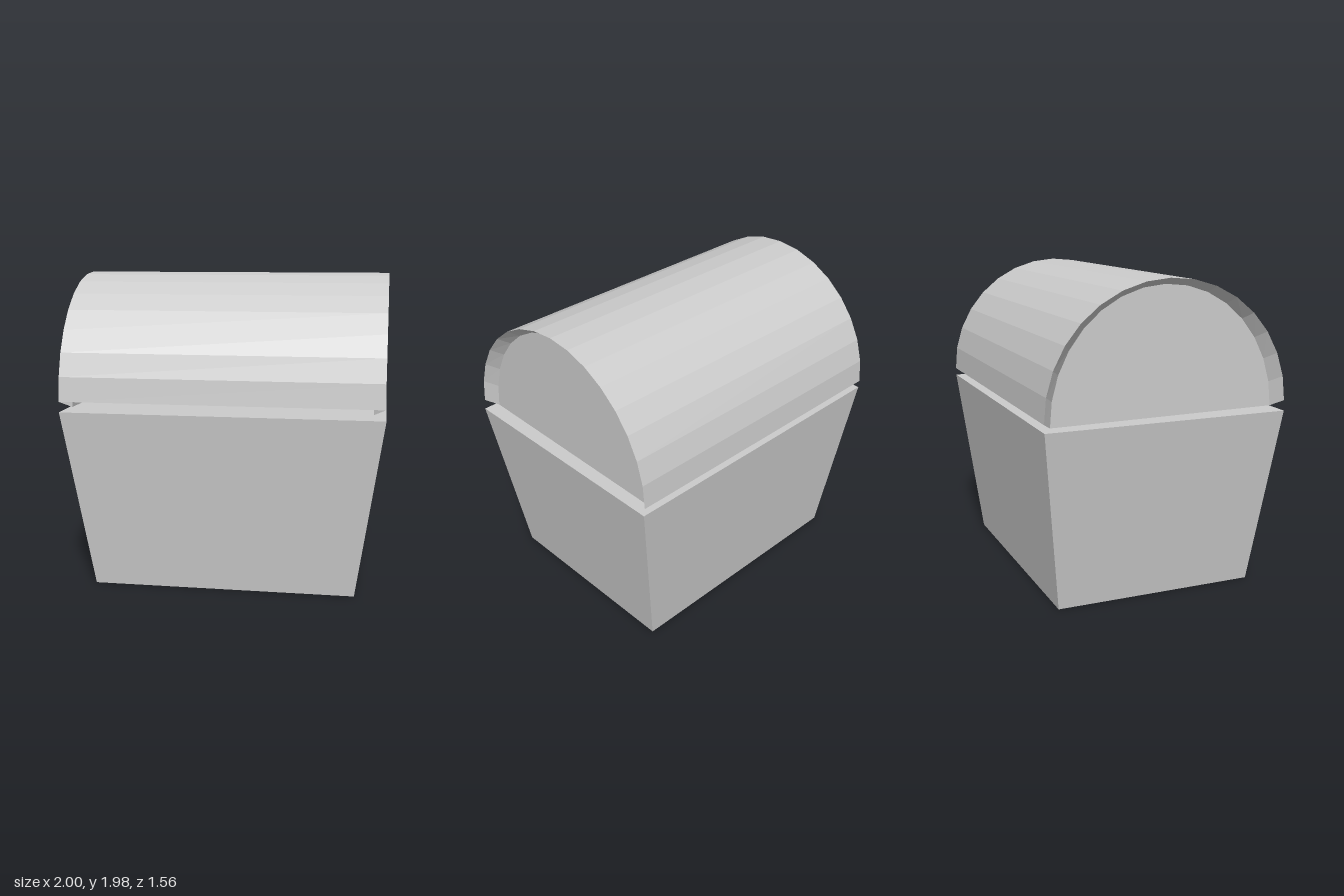
import * as THREE from 'three';

const grey = () => new THREE.MeshStandardMaterial({ color: 0xcccccc, flatShading: true, side: THREE.DoubleSide });

// Solid box that narrows towards the ground
function makeBody() {
  const height = 1.14;
  const geo = new THREE.BoxGeometry(2, height, 1.56).translate(0, height / 2, 0);
  const pos = geo.attributes.position;
  for (let i = 0; i < pos.count; i++) {
    if (pos.getY(i) < 0.01) {
      pos.setX(i, pos.getX(i) * 0.83);
      pos.setZ(i, pos.getZ(i) * 0.83);
    }
  }
  geo.computeVertexNormals();
  const body = new THREE.Mesh(geo, grey());
  body.name = 'chestBody';
  return body;
}

// Half-barrel shell, open below, with recessed end panels
function makeLid() {
  const steps = 16, radius = 0.78;
  const sections = [
    { x: -0.928, width: 0.925, drop: 0.04 },
    { x: -0.997, width: 1, drop: 0 },
    { x: 0.997, width: 1, drop: 0 },
    { x: 0.928, width: 0.925, drop: 0.04 },
  ];
  const positions = [], index = [];
  for (const { x, width, drop } of sections) {
    for (let i = 0; i <= steps; i++) {
      const a = (i / steps) * Math.PI;
      positions.push(x, radius * Math.sin(a) - drop, radius * Math.cos(a) * width);
    }
  }
  const at = (s, i) => s * (steps + 1) + i;

  // Rims and curved top
  for (let s = 0; s < sections.length - 1; s++) {
    for (let i = 0; i < steps; i++) {
      index.push(at(s, i), at(s + 1, i), at(s + 1, i + 1));
      index.push(at(s, i), at(s + 1, i + 1), at(s, i + 1));
    }
  }
  // End panels
  for (let i = 1; i < steps; i++) {
    index.push(at(0, 0), at(0, i), at(0, i + 1));
    index.push(at(3, 0), at(3, i + 1), at(3, i));
  }

  const indexed = new THREE.BufferGeometry();
  indexed.setAttribute('position', new THREE.Float32BufferAttribute(positions, 3));
  indexed.setIndex(index);
  const geo = indexed.toNonIndexed();
  geo.computeVertexNormals();

  const lid = new THREE.Mesh(geo, grey());
  lid.name = 'chestLid';
  lid.position.set(-0.003, 1.198, -0.002);
  lid.rotation.x = -0.01; // slightly raised at the front
  return lid;
}

export function createModel() {
  const chest = new THREE.Group();
  chest.name = 'chest';
  chest.add(makeBody(), makeLid());
  return chest;
}
